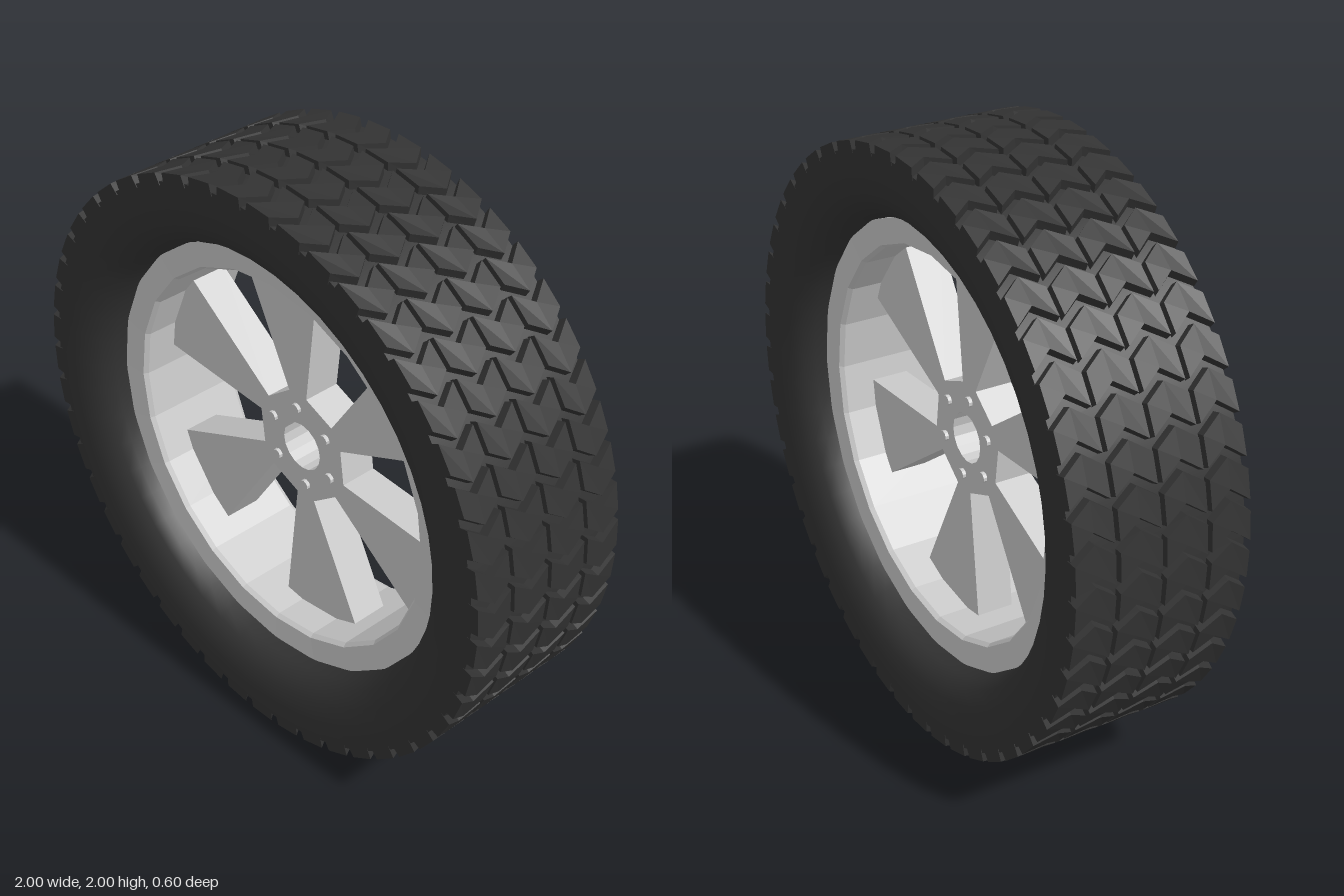
import * as THREE from 'three';
import { mergeGeometries, toCreasedNormals } from 'three/addons/utils/BufferGeometryUtils.js';

const DEG = Math.PI / 180;
const rubber = new THREE.MeshStandardMaterial({ color: 0x333333 });
const treadRubber = new THREE.MeshStandardMaterial({ color: 0x333333, flatShading: true });
const metal = new THREE.MeshStandardMaterial({ color: 0xcccccc, flatShading: true });

// Lathe around the axle (z); points are [radius, z]
function ring(points, segments) {
  const pts = points.map(([r, z]) => new THREE.Vector2(r, z));
  return new THREE.LatheGeometry(pts, segments).rotateX(Math.PI / 2);
}

// One V-shaped tread block spanning z0..z1, its tip at the given angle
function chevron(angle, z0, z1, pitch) {
  const rIn = 0.96, rOut = 1.0, vee = 0.05;
  const low = pitch * 0.41, top = pitch * 0.36;
  const pos = [], idx = [];
  for (const u of [-1, 0, 1]) {
    const a = angle + vee * Math.abs(u);
    const z = (z0 + z1) / 2 + (u * (z1 - z0)) / 2;
    for (const [r, d] of [[rIn, -low], [rOut, -top], [rOut, top], [rIn, low]]) {
      pos.push(r * Math.cos(a + d), r * Math.sin(a + d), z);
    }
  }
  for (let s = 0; s < 2; s++) {
    for (let i = 0; i < 3; i++) {
      const a = s * 4 + i, b = a + 1;
      idx.push(a, b, b + 4, a, b + 4, a + 4);
    }
  }
  idx.push(8, 9, 10, 8, 10, 11, 0, 2, 1, 0, 3, 2);
  const g = new THREE.BufferGeometry();
  g.setAttribute('position', new THREE.Float32BufferAttribute(pos, 3));
  g.setIndex(idx);
  g.computeVertexNormals();
  return g;
}

export function createModel() {
  const model = new THREE.Group();
  model.name = 'wheel';
  const wheel = new THREE.Group();
  wheel.position.y = 1;
  model.add(wheel);
  const add = (name, geometry, material) => {
    const mesh = new THREE.Mesh(geometry, material);
    mesh.name = name;
    wheel.add(mesh);
    return mesh;
  };

  // Tire body with bulged sidewalls dipping in to the rim
  const side = [[0.74, 0.18], [0.755, 0.225], [0.78, 0.26], [0.83, 0.287], [0.9, 0.298], [0.972, 0.298]];
  const tireProfile = [...side.map(([r, z]) => [r, -z]), ...[...side].reverse()];
  add('tire', toCreasedNormals(ring(tireProfile, 48), 0.6), rubber);

  // Four rows of chevron blocks
  const count = 48, pitch = (2 * Math.PI) / count;
  const rows = [[-0.3, -0.165], [-0.149, -0.008], [0.008, 0.149], [0.165, 0.3]];
  const blocks = [];
  for (const [z0, z1] of rows) {
    for (let i = 0; i < count; i++) blocks.push(chevron(i * pitch, z0, z1, pitch));
  }
  add('tread', mergeGeometries(blocks), treadRubber);

  // Rim: lip on both sides and a plain barrel
  add('rim', ring([
    [0.745, -0.19], [0.745, 0.19], [0.66, 0.185], [0.65, 0.17],
    [0.65, -0.17], [0.66, -0.185], [0.745, -0.19],
  ], 24), metal);

  // Hub and six flaring spokes cut from one plate
  const thick = 0.13;
  const plate = new THREE.Shape();
  const polar = (r, deg) => [r * Math.cos(deg * DEG), r * Math.sin(deg * DEG)];
  for (let i = 0; i < 6; i++) {
    const a = i * 60 + 23.6;
    const outline = [polar(0.195, a), polar(0.66, a), polar(0.66, a + 10), polar(0.66, a + 20),
      polar(0.66, a + 30), polar(0.2, a + 23)];
    outline.forEach(([x, y], k) => (i + k === 0 ? plate.moveTo(x, y) : plate.lineTo(x, y)));
  }
  plate.closePath();
  const bore = new THREE.Path();
  for (let i = 0; i < 16; i++) {
    const [x, y] = polar(0.085, -i * 22.5);
    if (i === 0) bore.moveTo(x, y);
    else bore.lineTo(x, y);
  }
  bore.closePath();
  plate.holes.push(bore);
  const spokes = new THREE.ExtrudeGeometry(plate, { depth: thick, bevelEnabled: false });
  add('hubAndSpokes', spokes.translate(0, 0, -thick / 2), metal);

  // Bolts standing proud on both faces of the hub
  for (let i = 0; i < 6; i++) {
    const [x, y] = polar(0.142, i * 60 + 38.5);
    const bolt = new THREE.CylinderGeometry(0.018, 0.018, thick + 0.025, 10).rotateX(Math.PI / 2);
    add('bolt', bolt, metal).position.set(x, y, 0);
  }

  return model;
}
